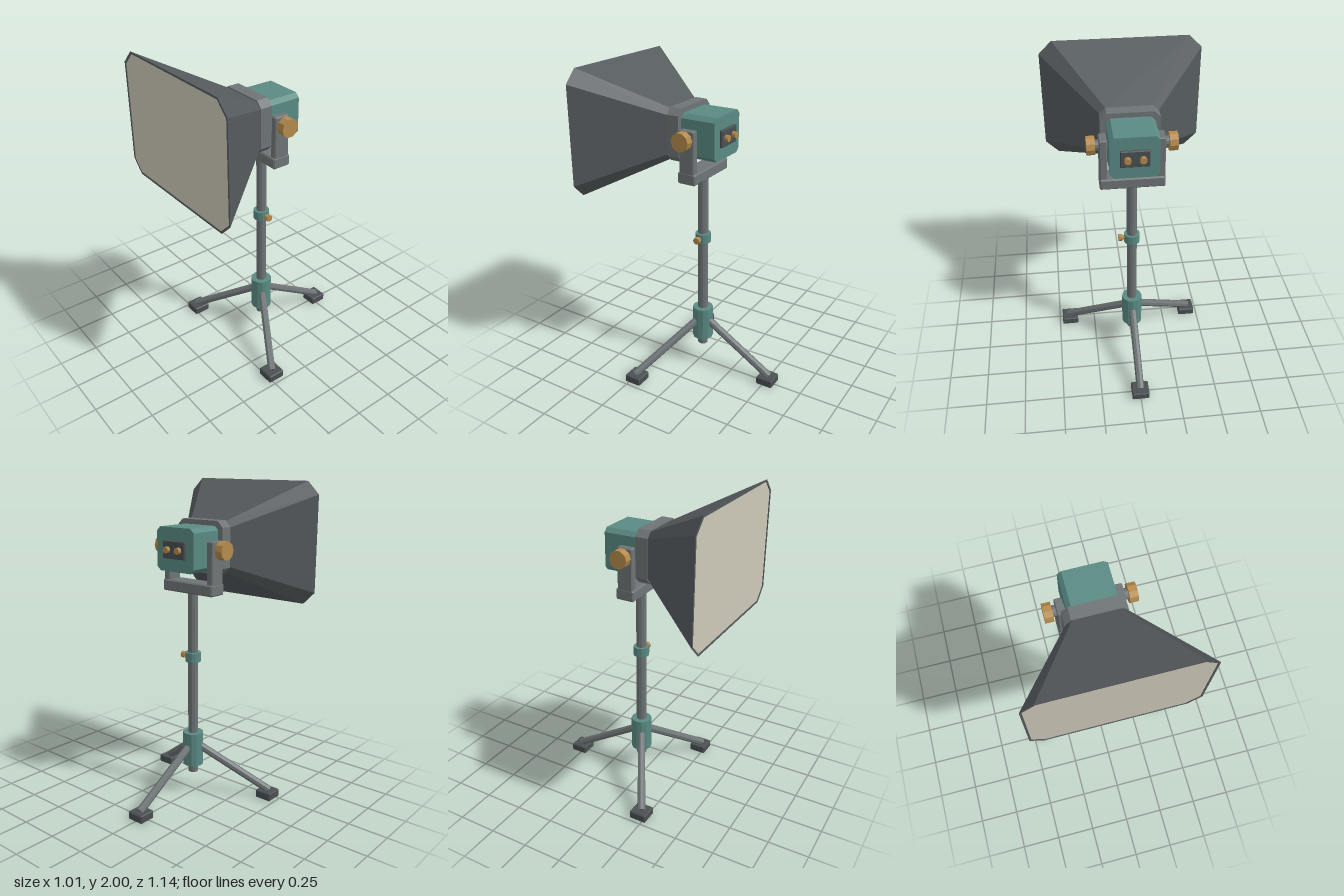
import * as THREE from 'three';

const mat = (color, side = THREE.FrontSide) =>
  new THREE.MeshStandardMaterial({ color, flatShading: true, side });
const teal = mat(0x5a8a83), steel = mat(0x6e7476), dark = mat(0x4a4f52);
const hornGrey = mat(0x565b5e, THREE.DoubleSide), brass = mat(0xb58b4c), cream = mat(0xcdc8b8);

const POLE_Z = -0.025, HEAD_Y = 1.615;

function add(parent, name, geometry, material, x = 0, y = 0, z = 0) {
  const mesh = new THREE.Mesh(geometry, material);
  mesh.name = name;
  mesh.position.set(x, y, z);
  parent.add(mesh);
  return mesh;
}

// Corners of a rectangle with cut corners, counter-clockwise
function octagon(w, h, c) {
  const x = w / 2, y = h / 2;
  return [[x, -y + c], [x, y - c], [x - c, y], [-x + c, y],
    [-x, y - c], [-x, -y + c], [-x + c, -y], [x - c, -y]];
}
const octShape = (w, h, c) => new THREE.Shape(octagon(w, h, c).map(p => new THREE.Vector2(...p)));

// Prism along z with cut corners, centred
const prism = (w, h, d, c) =>
  new THREE.ExtrudeGeometry(octShape(w, h, c), { depth: d, bevelEnabled: false }).translate(0, 0, -d / 2);

// Box with all edges chamfered, centred
function chamferBox(w, h, d, c) {
  const shape = octShape(w - 2 * c, h - 2 * c, c * 0.3);
  return new THREE.ExtrudeGeometry(shape, {
    depth: d - 2 * c, bevelThickness: c, bevelSize: c, bevelSegments: 1,
  }).translate(0, 0, -d / 2 + c);
}

// Skin between successive cut-corner sections [w, h, cut, z]
function loft(sections) {
  const pos = [];
  const rings = sections.map(([w, h, c, z]) => octagon(w, h, c).map(([x, y]) => [x, y, z]));
  for (let r = 0; r < rings.length - 1; r++) {
    const a = rings[r], b = rings[r + 1];
    for (let i = 0; i < 8; i++) {
      const j = (i + 1) % 8;
      pos.push(...a[i], ...a[j], ...b[j], ...a[i], ...b[j], ...b[i]);
    }
  }
  const g = new THREE.BufferGeometry();
  g.setAttribute('position', new THREE.Float32BufferAttribute(pos, 3));
  g.computeVertexNormals();
  return g;
}

const cylinder = (r, h, n = 12) => new THREE.CylinderGeometry(r, r, h, n);
const cylinderX = (r, h, n = 12) => cylinder(r, h, n).rotateZ(-Math.PI / 2);
const cylinderZ = (r, h, n = 12) => cylinder(r, h, n).rotateX(Math.PI / 2);

function rod(parent, name, from, to, r, material) {
  const dir = to.clone().sub(from);
  const mesh = add(parent, name, cylinder(r, dir.length(), 8), material);
  mesh.position.copy(from).add(to).multiplyScalar(0.5);
  mesh.quaternion.setFromUnitVectors(new THREE.Vector3(0, 1, 0), dir.normalize());
}

function buildStand() {
  const stand = new THREE.Group();
  stand.name = 'stand';
  add(stand, 'pole', cylinder(0.032, 1.22), steel, 0, 0.76, POLE_Z);
  add(stand, 'hub', cylinder(0.066, 0.22), teal, 0, 0.315, POLE_Z);
  add(stand, 'clampCollar', cylinder(0.05, 0.06), teal, 0, 0.93, POLE_Z);
  add(stand, 'clampScrew', cylinderX(0.014, 0.03, 8), brass, 0.055, 0.93, POLE_Z);
  add(stand, 'clampKnob', cylinderX(0.022, 0.025, 8), brass, 0.073, 0.93, POLE_Z);

  // Three legs, one straight back and two forward
  for (const deg of [30, 150, 270]) {
    const a = THREE.MathUtils.degToRad(deg), cx = Math.cos(a), cz = Math.sin(a);
    const at = (r, y) => new THREE.Vector3(cx * r, y, POLE_Z + cz * r);
    rod(stand, 'leg', at(0.03, 0.34), at(0.5, 0.055), 0.025, steel);
    const p = at(0.49, 0.031);
    add(stand, 'foot', chamferBox(0.11, 0.052, 0.11, 0.006), dark, p.x, p.y, p.z);
  }
  return stand;
}

function buildYoke() {
  const yoke = new THREE.Group();
  yoke.name = 'yoke';
  add(yoke, 'yokeBase', chamferBox(0.39, 0.07, 0.12, 0.008), steel, 0, 1.375, POLE_Z);
  for (const s of [-1, 1]) {
    add(yoke, 'yokeArm', chamferBox(0.046, 0.29, 0.1, 0.006), steel, s * 0.17, 1.52, POLE_Z);
    add(yoke, 'tiltShaft', cylinderX(0.032, 0.09), steel, s * 0.18, HEAD_Y, POLE_Z);
    add(yoke, 'tiltKnob', cylinderX(0.057, 0.05, 10), brass, s * 0.239, HEAD_Y, POLE_Z);
  }
  return yoke;
}

function buildHead() {
  const head = new THREE.Group();
  head.name = 'lampHead';
  head.position.y = HEAD_Y;
  add(head, 'housing', prism(0.286, 0.262, 0.226, 0.025), teal, 0, 0, -0.073);
  add(head, 'mountRing', prism(0.352, 0.322, 0.076, 0.038), steel, 0, 0, 0.077);

  // Flared reflector with a thin folded lip around the diffuser
  add(head, 'reflector', loft([
    [0.335, 0.305, 0.035, 0.114],
    [1.006, 0.77, 0.08, 0.57],
    [0.982, 0.746, 0.075, 0.57],
    [0.982, 0.746, 0.075, 0.555],
  ]), hornGrey);
  add(head, 'diffuser', prism(0.982, 0.746, 0.012, 0.075), cream, 0, 0, 0.56);

  // Rear control panel
  add(head, 'controlPanel', chamferBox(0.17, 0.105, 0.02, 0.005), dark, 0, 0, -0.193);
  for (const s of [-1, 1]) {
    add(head, 'controlDial', cylinderZ(0.02, 0.028, 10), brass, s * 0.044, 0, -0.212);
  }
  return head;
}

export function createModel() {
  const model = new THREE.Group();
  model.name = 'studioLight';
  model.add(buildStand(), buildYoke(), buildHead());
  return model;
}
